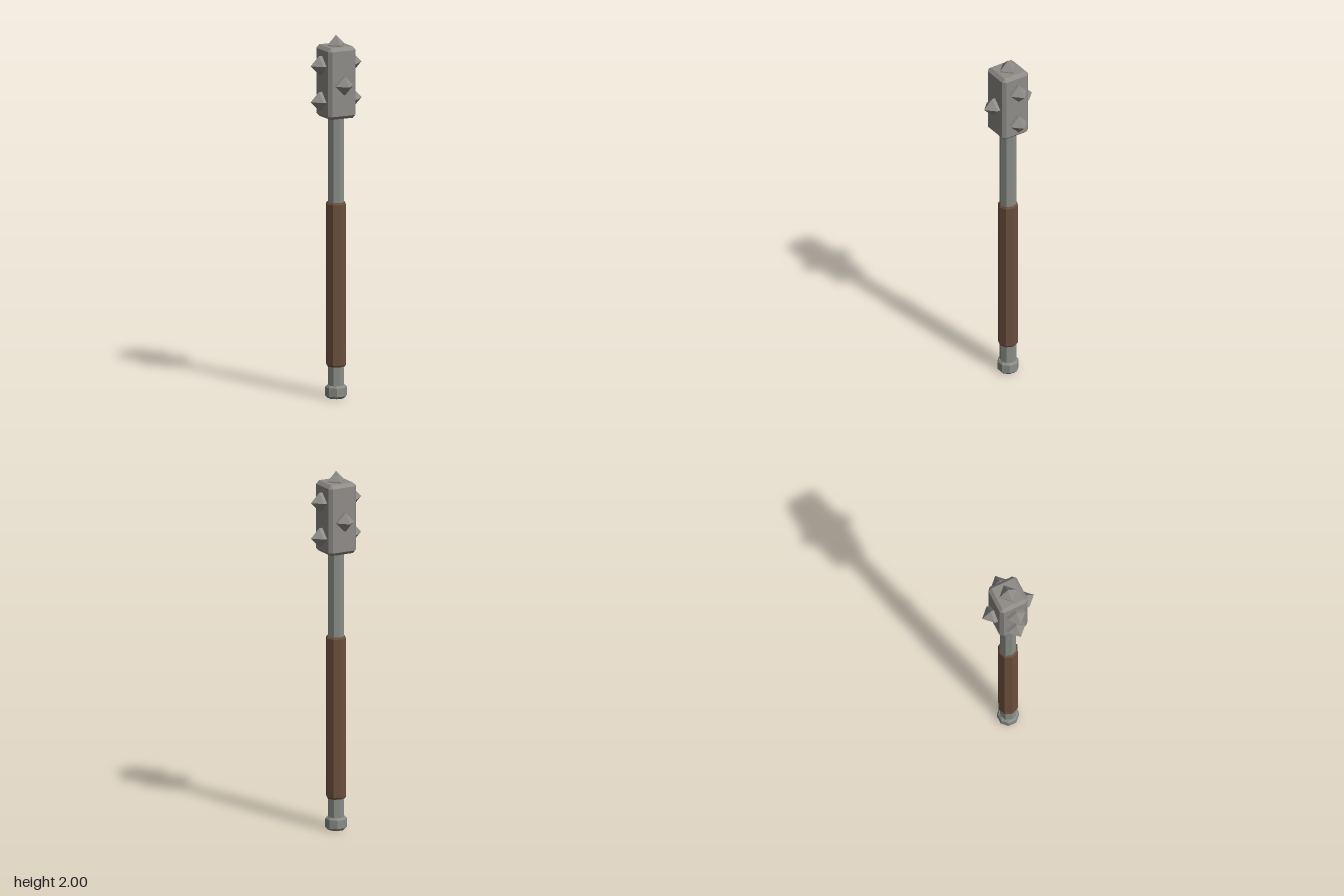
import * as THREE from 'three';
import { ConvexGeometry } from 'three/addons/geometries/ConvexGeometry.js';

const material = (name, color) => {
  const m = new THREE.MeshStandardMaterial({ color, flatShading: true });
  m.name = name;
  return m;
};

// Faceted turned part: profile of [radius, height] from bottom to top
function turned(name, profile, sides, mat, turn = 0) {
  const points = profile.map(([r, y]) => new THREE.Vector2(r, y));
  const geometry = new THREE.LatheGeometry(points, sides, turn);
  const mesh = new THREE.Mesh(geometry, mat);
  mesh.name = name;
  return mesh;
}

// Box with every edge chamfered
function chamferedBox(hx, hy, hz, c) {
  const points = [];
  for (const x of [-1, 1]) for (const y of [-1, 1]) for (const z of [-1, 1]) {
    points.push(
      new THREE.Vector3(x * hx, y * (hy - c), z * (hz - c)),
      new THREE.Vector3(x * (hx - c), y * hy, z * (hz - c)),
      new THREE.Vector3(x * (hx - c), y * (hy - c), z * hz));
  }
  return new ConvexGeometry(points);
}

export function createModel() {
  const headSteel = material('head steel', 0x8f8c88);
  const shaftSteel = material('shaft steel', 0x8a8d87);
  const leather = material('brown leather', 0x6b4f3d);

  const model = new THREE.Group();
  model.name = 'spikedMace';

  // Shaft, grip and pommel
  model.add(turned('shaft', [[0, 0.03], [0.046, 0.03], [0.046, 1.58], [0, 1.58]], 8, shaftSteel));
  model.add(turned('grip',
    [[0.044, 0.175], [0.05, 0.175], [0.056, 0.185], [0.056, 1.07], [0.05, 1.08], [0.044, 1.08]],
    8, leather));
  model.add(turned('pommel',
    [[0, 0], [0.047, 0], [0.059, 0.013], [0.059, 0.06], [0.05, 0.071], [0, 0.071]],
    8, shaftSteel, Math.PI / 8));

  // Head block
  const head = new THREE.Mesh(chamferedBox(0.085, 0.197, 0.085, 0.018), headSteel);
  head.name = 'head';
  head.position.y = 1.745;
  model.add(head);

  // Spikes: a pair on each side face, one on front and back, one on top
  const addSpike = (name, x, y, z, rx, rz) => {
    const spike = turned(name, [[0.052, -0.03], [0.052, 0], [0, 0.052]], 4, headSteel);
    spike.position.set(x, y, z);
    spike.rotation.set(rx, 0, rz);
    model.add(spike);
  };
  const q = Math.PI / 2;
  for (const s of [-1, 1]) {
    const side = s > 0 ? 'left' : 'right';
    addSpike(side + 'UpperSpike', s * 0.104, 1.84, 0, 0, -s * q);
    addSpike(side + 'LowerSpike', s * 0.104, 1.642, 0, 0, -s * q);
    addSpike(s > 0 ? 'frontSpike' : 'backSpike', 0, 1.736, s * 0.104, s * q, 0);
  }
  addSpike('topSpike', 0, 1.948, 0, 0, 0);

  return model;
}
